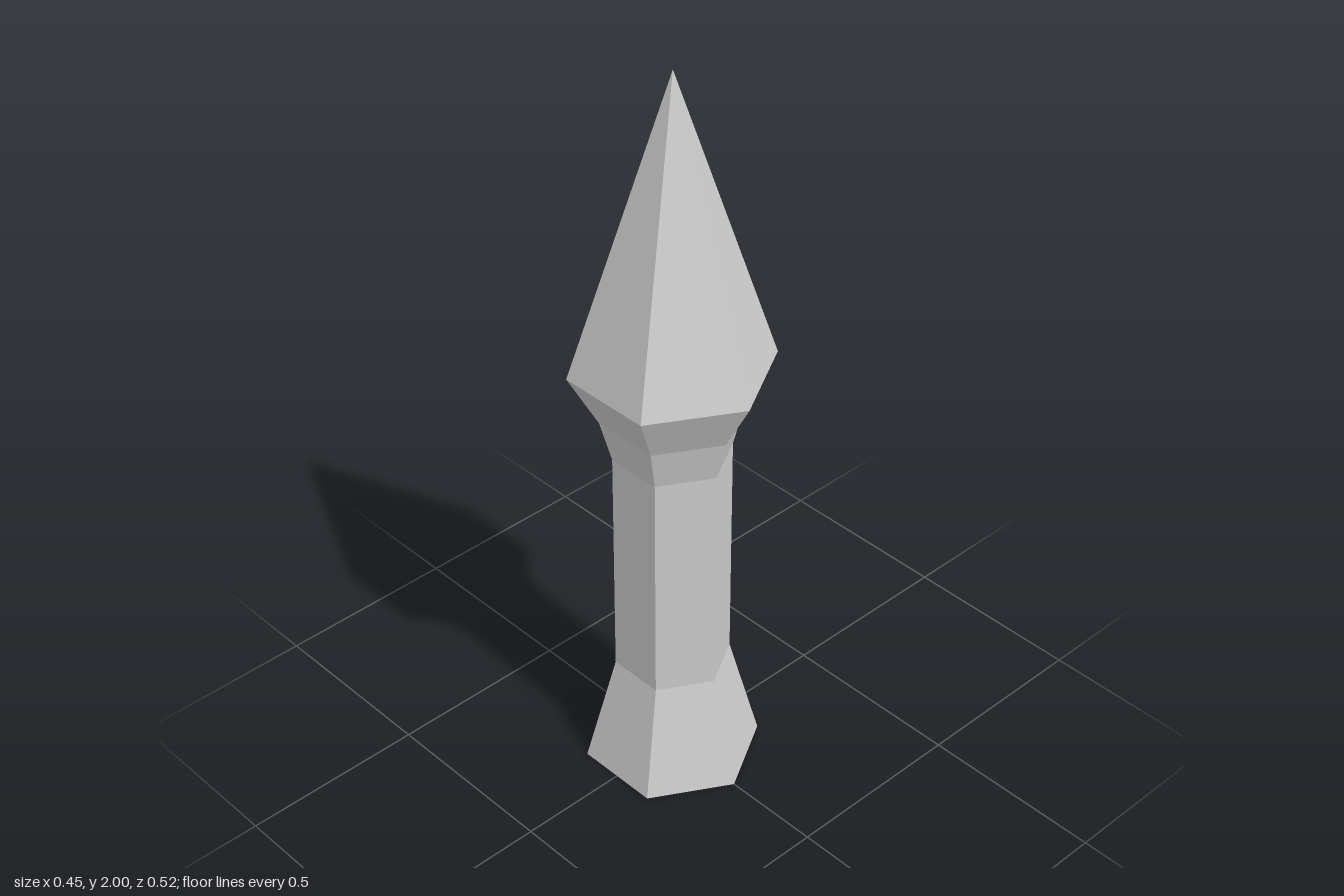
import * as THREE from 'three';

const SIDES = 6;

// Six-sided turned section from [radius, height] pairs, listed bottom to top
function section(name, profile, material) {
  const points = profile.map(([r, y]) => new THREE.Vector2(r, y));
  const mesh = new THREE.Mesh(new THREE.LatheGeometry(points, SIDES), material);
  mesh.name = name;
  return mesh;
}

export function createModel() {
  const model = new THREE.Group();
  model.name = 'spikedPost';
  const material = new THREE.MeshStandardMaterial({ color: 0xcccccc, flatShading: true });

  model.add(
    // Flared foot, closed underneath
    section('base', [[0, 0], [0.233, 0], [0.152, 0.305]], material),
    // Straight hexagonal shaft
    section('shaft', [[0.152, 0.305], [0.152, 0.955]], material),
    // Two-step flare under the point
    section('collar', [[0.152, 0.955], [0.183, 1.07], [0.26, 1.21]], material),
    // Tall pyramid point
    section('spike', [[0.26, 1.21], [0, 2]], material),
  );
  return model;
}
